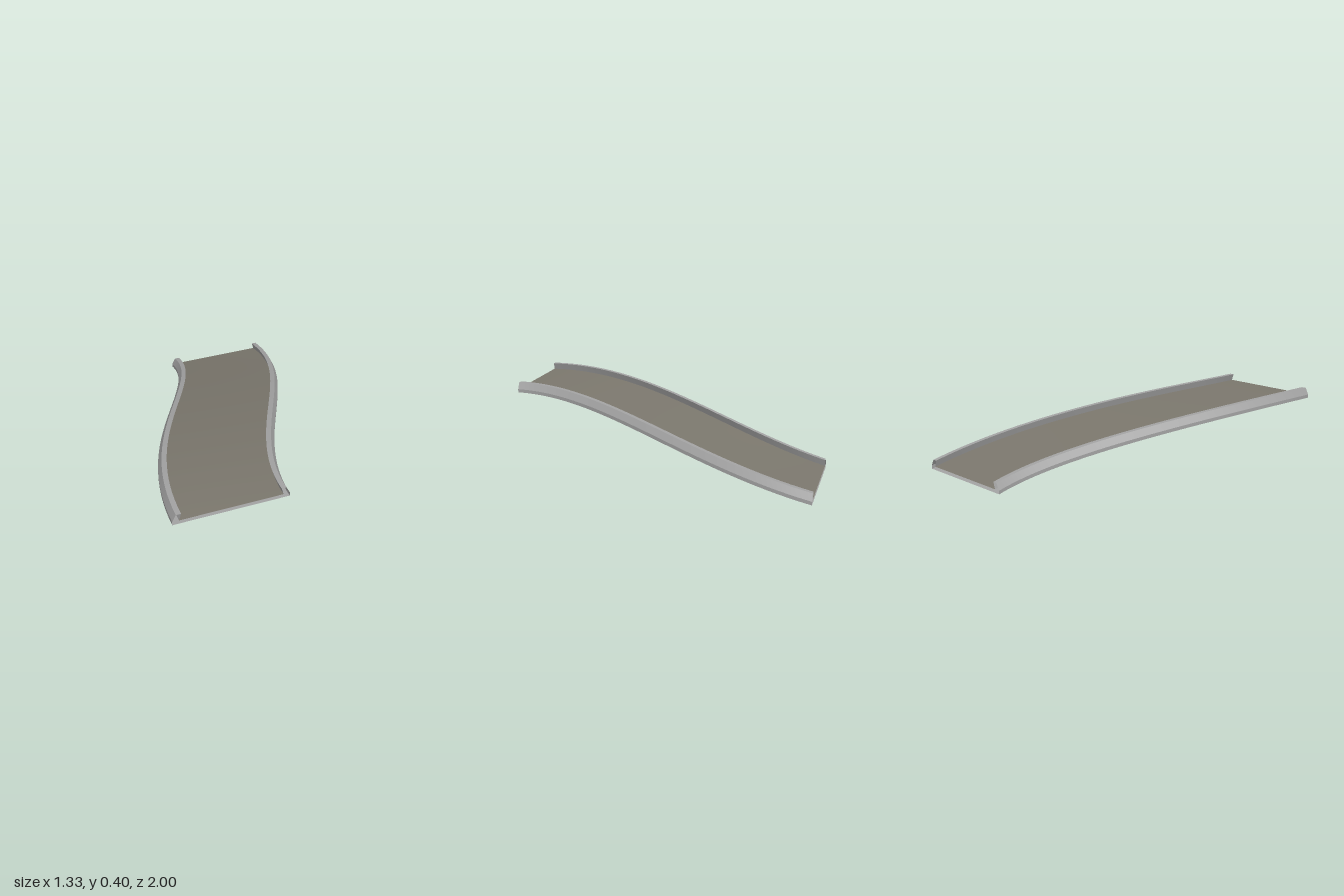
import * as THREE from 'three';

const HALF = 1 / 3;    // half width of the track
const STEPS = 40;      // sections along the length

// Place a section point: d across the track, h above its base, s from -1 (back) to 1 (front)
function place(d, h, s) {
  const slope = -0.5 * (1 - s * s);
  const len = Math.hypot(1, slope);
  const x = -HALF * (1.5 * s - 0.5 * s ** 3) + d / len;
  const z = s - (d * slope) / len;
  // Ramp height: climbs from the back and levels out at the front
  const u = (z + 1) / 2;
  const ramp = HALF * (3 * u * u - 2 * u ** 3) + 0.42 * u * (1 - u) ** 2;
  const bank = 0.009 * (1 - d / HALF) * (1 - s * s);
  return [x, ramp + bank + h, z];
}

// Sweep one straight piece of the section along the track
function strip(a, b, cuts, material, name) {
  const pos = [], index = [], row = cuts + 1;
  for (let i = 0; i <= STEPS; i++) {
    const s = -1 + (2 * i) / STEPS;
    for (let j = 0; j <= cuts; j++) {
      const t = j / cuts;
      pos.push(...place(a[0] + (b[0] - a[0]) * t, a[1] + (b[1] - a[1]) * t, s));
      if (i < STEPS && j < cuts) {
        const k = i * row + j;
        index.push(k, k + row, k + 1, k + 1, k + row, k + row + 1);
      }
    }
  }
  const geo = new THREE.BufferGeometry();
  geo.setAttribute('position', new THREE.Float32BufferAttribute(pos, 3));
  geo.setIndex(index);
  geo.computeVertexNormals();
  const mesh = new THREE.Mesh(geo, material);
  mesh.name = name;
  return mesh;
}

export function createModel() {
  const concrete = new THREE.MeshStandardMaterial({ color: 0xa2a2a2, side: THREE.DoubleSide });
  concrete.name = 'concrete grey';
  const asphalt = new THREE.MeshStandardMaterial({ color: 0x7b776d, side: THREE.DoubleSide });
  asphalt.name = 'road taupe';

  const model = new THREE.Group();
  model.name = 'rampTrack';

  // Kerb outline from outer foot over the top to the road surface
  const kerb = [[-HALF, 0], [-HALF, 0.021], [-HALF + 0.021, 0.062], [-HALF + 0.05, 0.062], [-HALF + 0.037, 0.021]];
  const mirrored = kerb.map(([d, h]) => [-d, h]).reverse();
  for (const [name, profile] of [['rightKerb', kerb], ['leftKerb', mirrored]]) {
    const group = new THREE.Group();
    group.name = name;
    for (let i = 0; i < profile.length - 1; i++) {
      group.add(strip(profile[i], profile[i + 1], 1, concrete, name + 'Face'));
    }
    model.add(group);
  }

  // Road surface between the kerbs, and the underside; both ends stay open
  model.add(strip(kerb[4], mirrored[0], 6, asphalt, 'roadSurface'));
  model.add(strip([HALF, 0], [-HALF, 0], 6, concrete, 'underside'));
  return model;
}
